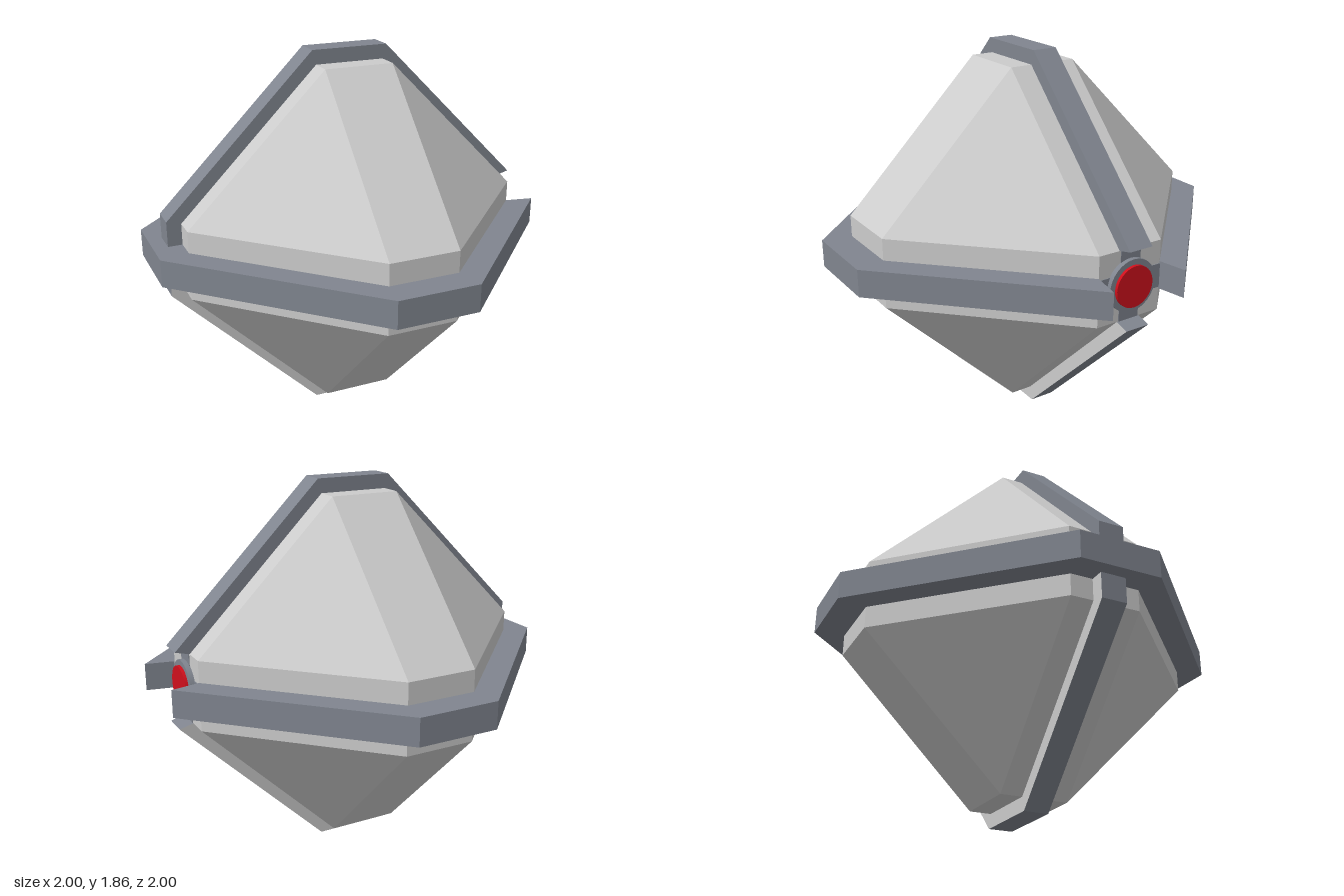
import * as THREE from 'three';
import { ConvexGeometry } from 'three/addons/geometries/ConvexGeometry.js';

const CENTER = 0.93; // height of the body's middle
const R = 0.86, C = 0.172; // body half size and half width of its square faces

const grey = new THREE.MeshStandardMaterial({ color: 0xcccccc, flatShading: true });
const steel = new THREE.MeshStandardMaterial({ color: 0x80858f, flatShading: true });
const steelSmooth = new THREE.MeshStandardMaterial({ color: 0x80858f });
const red = new THREE.MeshStandardMaterial({ color: 0xd0101c });

// Right half-outline of an octagon cut open at +x, from the +x end round to -x
const halfOctagon = (r, c) => [[r, c], [c, r], [-c, r], [-r, c], [-r, 0]];

// Half of an open octagonal band in the xy plane; outer rim r/c, inner rim on the body
function halfBand(name, r, c, width, capMaterial) {
  const points = [...halfOctagon(r, c), ...halfOctagon(R, C).reverse()]
    .map(([x, y]) => new THREE.Vector2(x, y));
  const geometry = new THREE.ExtrudeGeometry(new THREE.Shape(points), { depth: width, bevelEnabled: false });
  geometry.translate(0, 0, -width / 2);
  const mesh = new THREE.Mesh(geometry, [capMaterial, steel]);
  mesh.name = name;
  return mesh;
}

export function createModel() {
  const model = new THREE.Group();
  model.name = 'facetedShell';
  const core = new THREE.Group();
  core.name = 'core';
  core.position.y = CENTER;
  model.add(core);

  const add = (name, geometry, material, x = 0) => {
    const mesh = new THREE.Mesh(geometry, material);
    mesh.name = name;
    mesh.position.x = x;
    core.add(mesh);
    return mesh;
  };

  // Body: hull of six small squares, one on each axis direction
  const corners = [];
  for (const a of [-1, 1]) for (const b of [-1, 1]) for (const s of [-1, 1]) {
    corners.push(
      new THREE.Vector3(s * R, a * C, b * C),
      new THREE.Vector3(a * C, s * R, b * C),
      new THREE.Vector3(a * C, b * C, s * R));
  }
  add('body', new ConvexGeometry(corners), grey);

  // Upright band: upper half all steel, lower half with pale flanks
  core.add(halfBand('upperUprightBand', 0.93, 0.19, 0.124, steel));
  const lower = halfBand('lowerUprightBand', 0.93, 0.19, 0.124, grey);
  lower.rotation.x = Math.PI;
  core.add(lower);

  // Level band: front and back halves
  for (const [name, turn] of [['frontLevelBand', 1], ['backLevelBand', -1]]) {
    const half = halfBand(name, 1, 0.2, 0.134, steel);
    half.rotation.x = turn * Math.PI / 2;
    core.add(half);
  }

  // Inlaid cross behind the lens
  add('levelInlay', new THREE.BoxGeometry(0.02, 0.116, 2 * C), steel, R - 0.006);
  add('uprightInlay', new THREE.BoxGeometry(0.02, 2 * C, 0.11), steel, R - 0.007);

  // Round lens housing and red lens on the +x face
  const disc = (radius, depth) => new THREE.CylinderGeometry(radius, radius, depth, 32).rotateZ(-Math.PI / 2);
  add('lensHousing', disc(0.127, 0.035), steelSmooth, 0.8675);
  add('lens', disc(0.1, 0.04), red, 0.88);

  return model;
}
